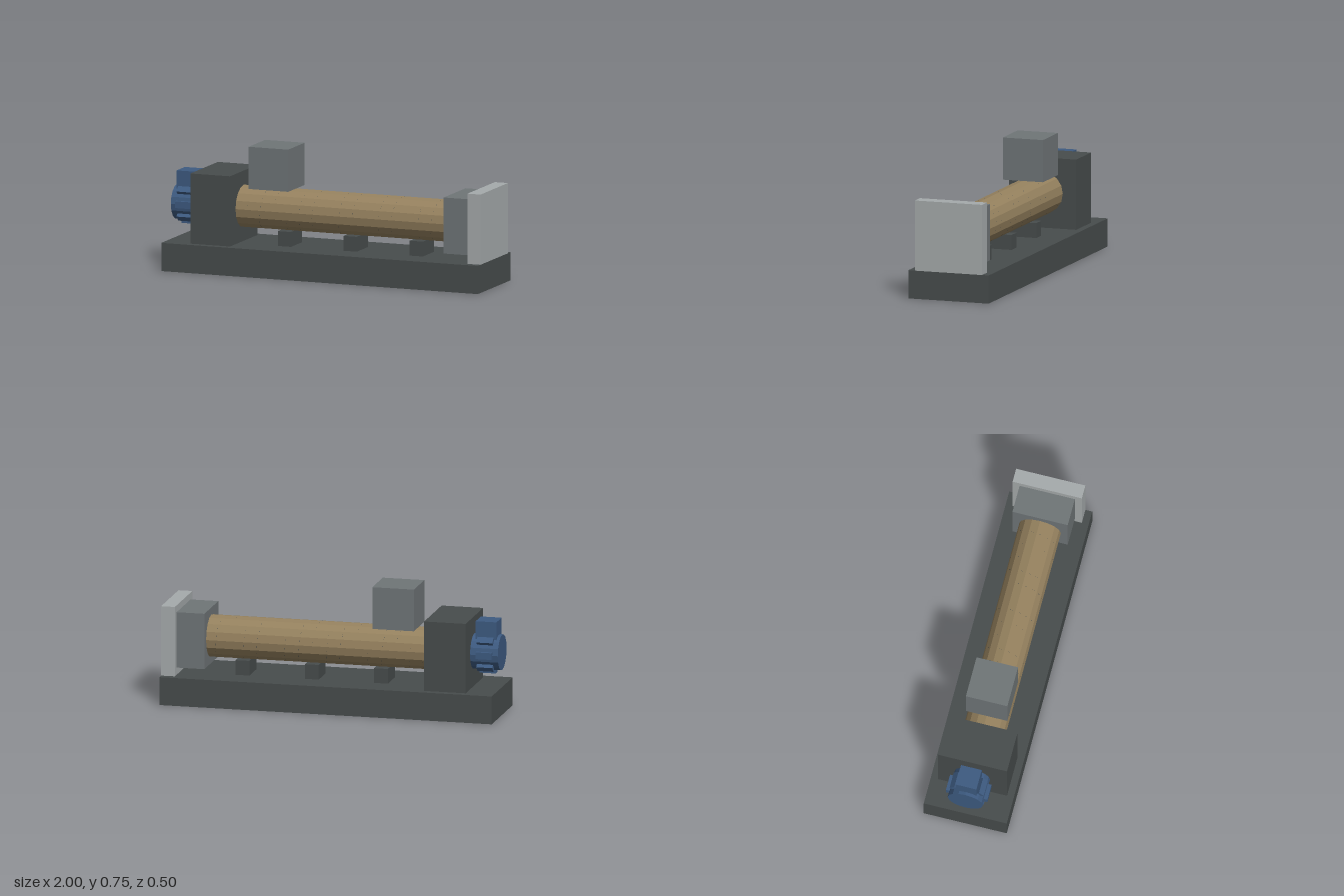
import * as THREE from 'three';

const mat = (name, color, extra = {}) => {
  const m = new THREE.MeshStandardMaterial({ color, ...extra });
  m.name = name;
  return m;
};

export function createModel() {
  const model = new THREE.Group();
  model.name = 'extruder';

  const frame = mat('darkFrame', 0x474c4c);
  const steel = mat('steelGrey', 0x6f7577);
  const pale = mat('paleGrey', 0xa5aaab);
  const brass = mat('barrelBrown', 0x95815e, { flatShading: true });
  const blue = mat('motorBlue', 0x3d5a80, { flatShading: true });

  const add = (name, geo, material, parent = model) => {
    const mesh = new THREE.Mesh(geo, material);
    mesh.name = name;
    parent.add(mesh);
    return mesh;
  };
  // Box from its limits in x and y, centred on z
  const box = (name, x0, x1, y0, y1, depth, material, parent) => {
    const mesh = add(name, new THREE.BoxGeometry(x1 - x0, y1 - y0, depth), material, parent);
    mesh.position.set((x0 + x1) / 2, (y0 + y1) / 2, 0);
    return mesh;
  };
  // Cylinder lying along x on the machine axis
  const axisY = 0.375;
  const drum = (name, x0, x1, radius, sides, material, parent) => {
    const geo = new THREE.CylinderGeometry(radius, radius, x1 - x0, sides).rotateZ(Math.PI / 2);
    const mesh = add(name, geo, material, parent);
    mesh.position.set((x0 + x1) / 2, axisY, 0);
    return mesh;
  };

  // Bed, gearbox and barrel supports
  box('base', -1, 1, 0, 0.167, 0.5, frame);
  box('gearbox', -0.833, -0.583, 0.167, 0.583, 0.417, frame);
  for (const x of [-0.333, 0.083, 0.5]) box('barrelSupport', x, x + 0.083, 0.167, 0.255, 0.167, frame);

  // Barrel with the feed hopper above it
  drum('barrel', -0.583, 0.75, 0.125, 16, brass);
  box('hopper', -0.5, -0.25, 0.5, 0.75, 0.25, steel);

  // Screw flight, just grazing the barrel's flat sides
  const pitch = 0.0833, turns = 15.5, tube = 0.006;
  class Helix extends THREE.Curve {
    getPoint(t, target = new THREE.Vector3()) {
      const turn = t * turns - 0.5, a = turn * Math.PI * 2, r = 0.1232 - tube;
      return target.set(-0.515 + pitch * turn, axisY + r * Math.sin(a), r * Math.cos(a));
    }
  }
  add('screwFlight', new THREE.TubeGeometry(new Helix(), 700, tube, 6), frame);

  // Die head and end plate
  box('dieHead', 0.75, 0.917, 0.21, 0.542, 0.333, steel);
  box('endPlate', 0.917, 1, 0.167, 0.583, 0.417, pale);

  // Motor with cooling fins and terminal box
  const motor = new THREE.Group();
  motor.name = 'motor';
  model.add(motor);
  drum('motorBody', -1, -0.833, 0.106, 16, blue, motor);
  for (let i = 0; i < 8; i++) {
    const a = (i * Math.PI) / 4;
    const fin = add('coolingFin', new THREE.BoxGeometry(0.097, 0.03, 0.04), blue, motor);
    fin.position.set(-0.918, axisY + 0.11 * Math.cos(a), 0.11 * Math.sin(a));
    fin.rotation.x = a;
  }
  box('terminalBox', -0.981, -0.856, 0.46, 0.567, 0.125, blue, motor);

  return model;
}
